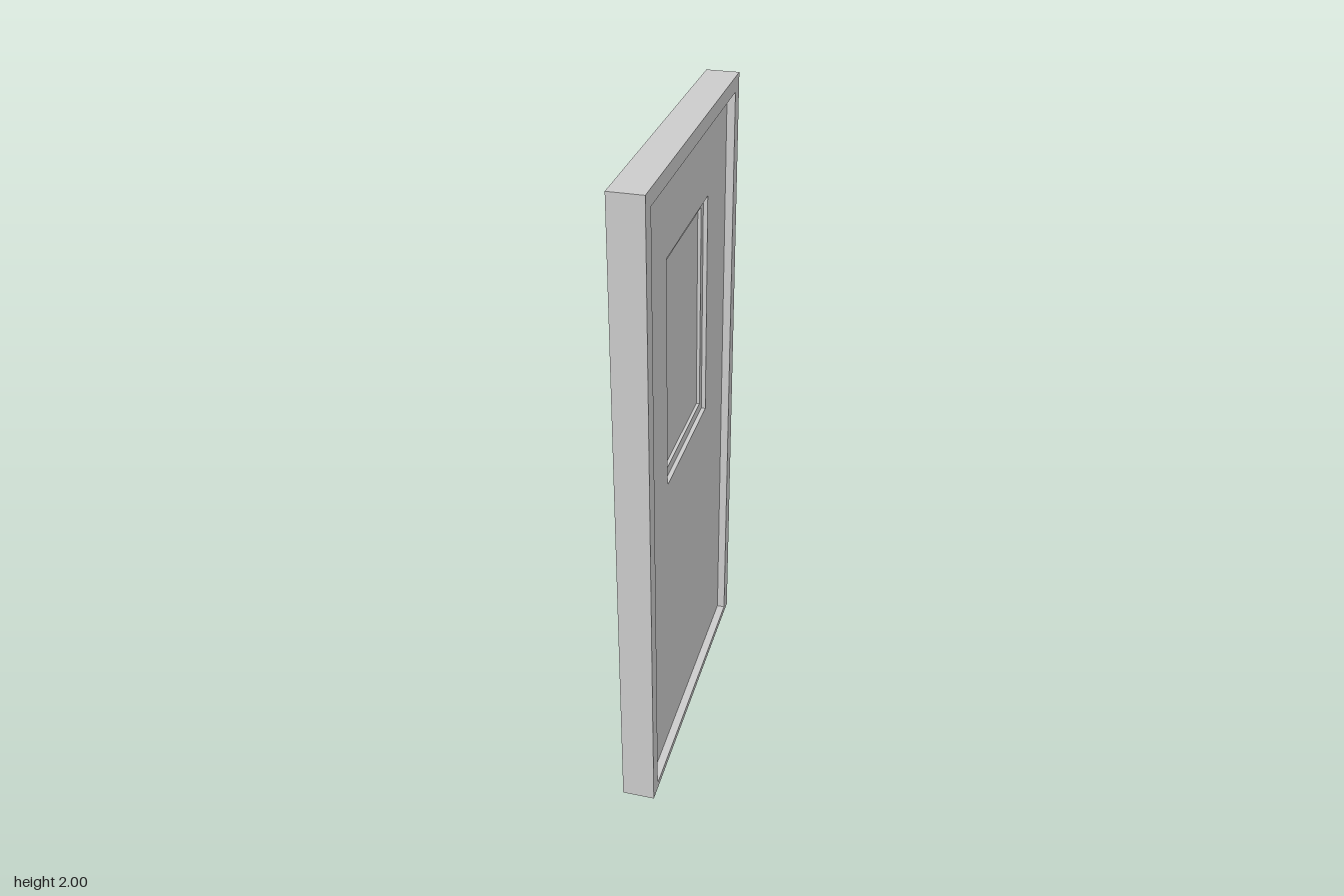
import * as THREE from 'three';

// Rectangle in the door plane: half width, bottom and top
const OUTER = [0.5, 0, 2];
const OPENING = [0.453, 0.022, 1.954];
const WINDOW = [0.226, 1.0, 1.716];
const PANE = [0.2, 1.03, 1.69];

function trace(path, [w, bottom, top]) {
  path.moveTo(-w, bottom);
  path.lineTo(w, bottom);
  path.lineTo(w, top);
  path.lineTo(-w, top);
  path.closePath();
  return path;
}

// Flat board centred on x = 0, with an optional rectangular hole
function board(name, rect, hole, thickness, material) {
  const shape = trace(new THREE.Shape(), rect);
  if (hole) shape.holes.push(trace(new THREE.Path(), hole));
  const geometry = new THREE.ExtrudeGeometry(shape, { depth: thickness, bevelEnabled: false });
  geometry.translate(0, 0, -thickness / 2).rotateY(Math.PI / 2);
  const mesh = new THREE.Mesh(geometry, material);
  mesh.name = name;
  return mesh;
}

export function createModel() {
  const material = new THREE.MeshStandardMaterial({ color: 0xcccccc });
  const door = new THREE.Group();
  door.name = 'door';
  // Each layer sits inside the previous one, stepping back on both faces
  door.add(
    board('doorFrame', OUTER, OPENING, 0.1, material),
    board('doorLeaf', OPENING, WINDOW, 0.05, material),
    board('windowFrame', WINDOW, PANE, 0.024, material),
    board('windowPane', PANE, null, 0.004, material)
  );
  return door;
}
